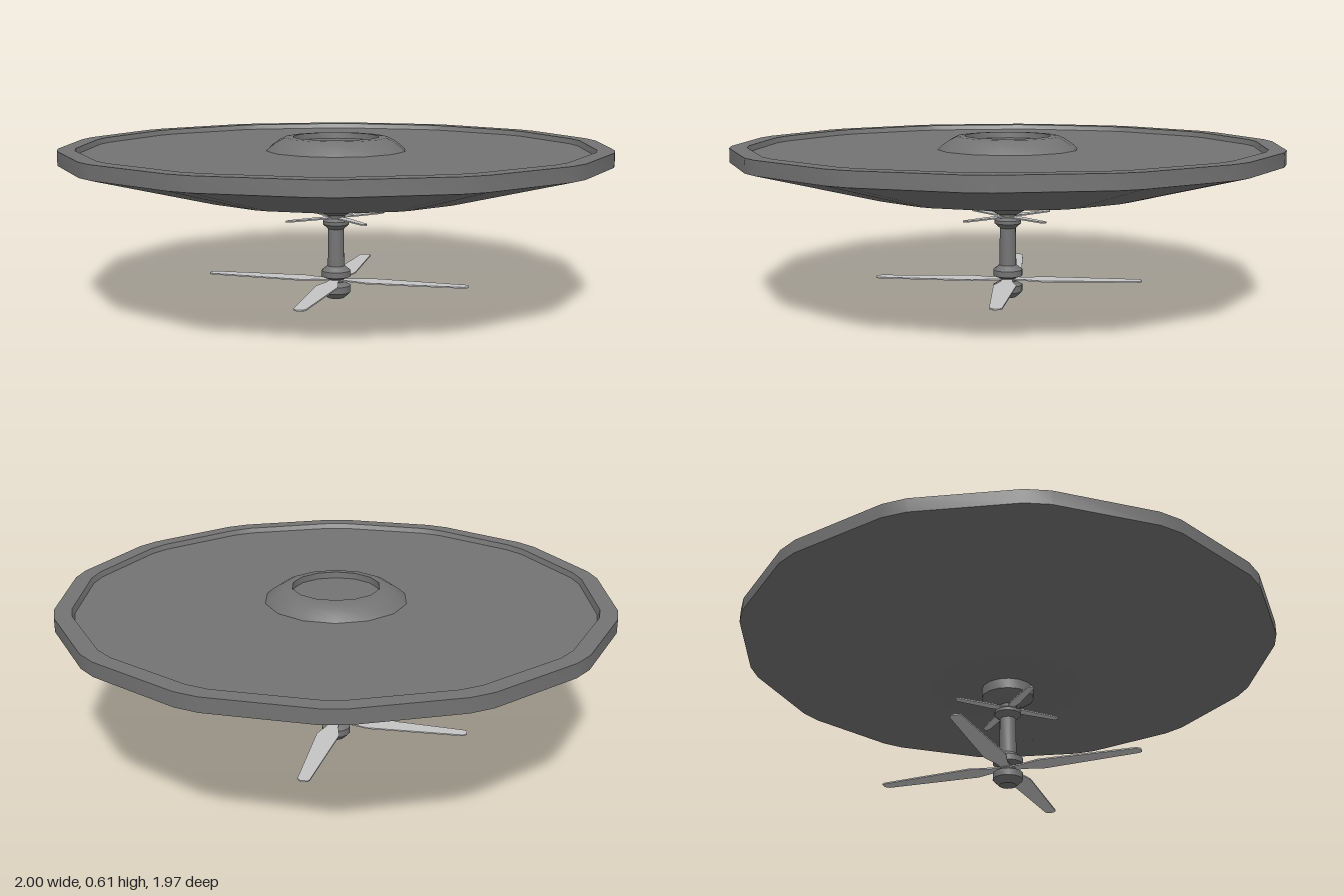
import * as THREE from 'three';
import { toCreasedNormals } from 'three/addons/utils/BufferGeometryUtils.js';

const dark = new THREE.MeshStandardMaterial({ color: 0x737373 });
dark.name = 'dark grey metal';
const light = new THREE.MeshStandardMaterial({ color: 0xc4c4c4 });
light.name = 'pale blade metal';

const points = (list) => list.map(([r, y]) => new THREE.Vector2(r, y));

function add(parent, name, geometry, material) {
  const mesh = new THREE.Mesh(geometry, material);
  mesh.name = name;
  parent.add(mesh);
  return mesh;
}

// Turned part with sharp edges where the profile bends strongly
function turned(profile, sides) {
  const g = new THREE.LatheGeometry(points(profile), sides, Math.PI / 2);
  return toCreasedNormals(g, 0.6);
}

// Fourteen-sided dish whose corners are slightly cut
function dishGeometry(profile) {
  const sides = 14, cut = 0.043, n = profile.length;
  const g = new THREE.LatheGeometry(points(profile), sides * 2);
  const pos = g.attributes.position;
  for (let i = 0; i <= sides * 2; i++) {
    const corner = Math.floor(i / 2) * Math.PI * 2 / sides;
    const phi = Math.PI / 2 + corner + (i % 2 ? cut : -cut);
    for (let j = 0; j < n; j++) {
      const [r, y] = profile[j];
      pos.setXYZ(i * n + j, r * Math.sin(phi), y, r * Math.cos(phi));
    }
  }
  return toCreasedNormals(g, 0.6);
}

// Four thin tapered blades around the stem
function rotor(name, outline, y, turn) {
  const group = new THREE.Group();
  group.name = name;
  const shape = new THREE.Shape(outline.map(([x, z]) => new THREE.Vector2(x, z)));
  const g = new THREE.ExtrudeGeometry(shape, { depth: 0.005, bevelEnabled: false });
  g.rotateX(-Math.PI / 2);
  for (let i = 0; i < 4; i++) {
    const blade = add(group, 'blade', g, light);
    blade.rotation.y = turn + i * Math.PI / 2;
  }
  group.position.y = y;
  return group;
}

export function createModel() {
  const model = new THREE.Group();
  model.name = 'dish with rotors';

  // Shallow dish with a raised rim
  add(model, 'dish', dishGeometry([
    [0, 0.385], [0.28, 0.385], [0.54, 0.405], [1, 0.525], [1, 0.576],
    [0.938, 0.576], [0.93, 0.557], [0, 0.557],
  ]), dark);

  // Low dome with a sunken top
  add(model, 'dome', turned([
    [0.262, 0.555], [0.24, 0.575], [0.215, 0.592], [0.19, 0.604],
    [0.16, 0.606], [0.158, 0.584], [0, 0.584],
  ], 14), dark);

  // Mount and stem hanging under the dish
  add(model, 'mount', turned([
    [0, 0.315], [0.04, 0.315], [0.097, 0.347], [0.097, 0.39],
  ], 16), dark);
  add(model, 'stem', turned([
    [0, 0], [0.032, 0], [0.055, 0.022], [0.055, 0.047], [0.03, 0.06],
    [0.03, 0.072], [0.055, 0.082], [0.055, 0.104], [0.032, 0.122],
    [0.03, 0.262], [0.05, 0.28], [0.05, 0.292], [0.032, 0.303], [0.032, 0.33],
  ], 14), dark);

  // Large lower rotor on the axes, small upper one on the diagonals
  model.add(rotor('lowerRotor', [
    [0.02, -0.018], [0.06, -0.022], [0.13, -0.042], [0.485, -0.022], [0.5, -0.008],
    [0.497, 0.016], [0.485, 0.022], [0.13, 0.042], [0.06, 0.022], [0.02, 0.018],
  ], 0.065, 0));
  model.add(rotor('upperRotor', [
    [0.02, -0.01], [0.06, -0.018], [0.2, -0.012], [0.212, 0],
    [0.2, 0.012], [0.06, 0.018], [0.02, 0.01],
  ], 0.303, Math.PI / 4));

  return model;
}
